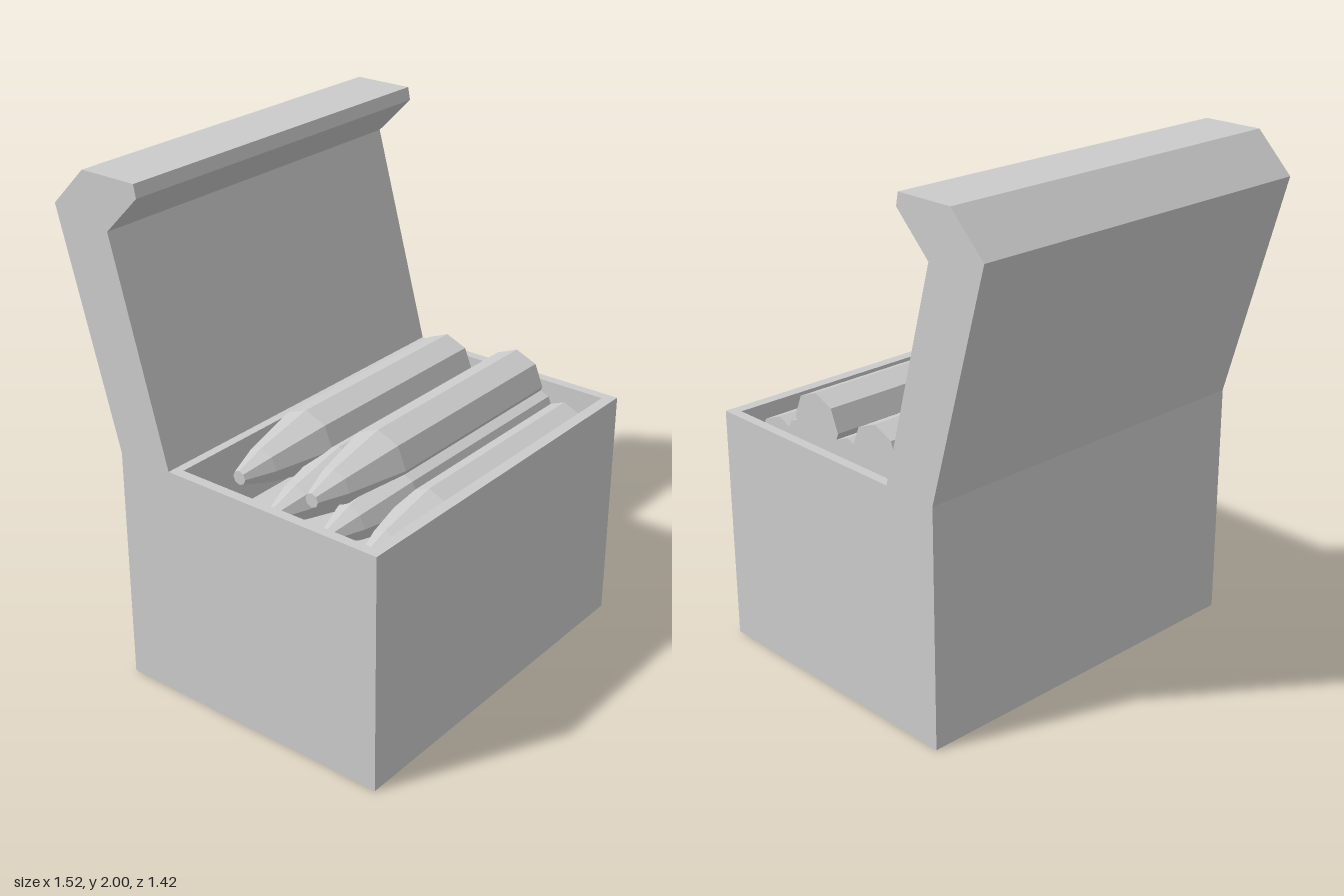
import * as THREE from 'three';

const material = new THREE.MeshStandardMaterial({ color: 0xcccccc, flatShading: true });

function part(name, geometry) {
  const mesh = new THREE.Mesh(geometry, material);
  mesh.name = name;
  return mesh;
}

// Rectangle seen from above; shape y is minus z
function rectangle(halfWidth, back, front, Type = THREE.Shape) {
  return new Type([
    [-halfWidth, -front], [halfWidth, -front], [halfWidth, -back], [-halfWidth, -back],
  ].map(([x, y]) => new THREE.Vector2(x, y)));
}

function extrude(shape, depth) {
  return new THREE.ExtrudeGeometry(shape, { depth, bevelEnabled: false });
}

export function createModel() {
  const group = new THREE.Group();
  group.name = 'cartridgeBox';
  const width = 1.52, height = 0.95, floorHeight = 0.68;

  // Open-topped box with a thick rear wall under the lid
  const outline = rectangle(width / 2, -0.455, 0.715);
  outline.holes.push(rectangle(0.72, -0.185, 0.67, THREE.Path));
  group.add(part('boxWalls', extrude(outline, height).rotateX(-Math.PI / 2)));
  const floor = extrude(rectangle(0.72, -0.185, 0.67), floorHeight);
  group.add(part('boxFloor', floor.rotateX(-Math.PI / 2)));

  // Raised lid with its hooked front lip, profile given as z, y
  const lidProfile = new THREE.Shape([
    [-0.455, 0.95], [-0.71, 1.85], [-0.56, 2], [-0.315, 2],
    [-0.305, 1.95], [-0.455, 1.8], [-0.22, 0.95],
  ].map(([z, y]) => new THREE.Vector2(z, y)));
  const lid = extrude(lidProfile, width).translate(0, 0, -width / 2);
  group.add(part('lid', lid.rotateY(-Math.PI / 2)));

  // Eight-sided cartridges lying with their tips to -x
  const cartridge = new THREE.LatheGeometry([
    [0, -0.625], [0.125, -0.625], [0.125, 0.26], [0.07, 0.51], [0.028, 0.63], [0, 0.63],
  ].map(([r, y]) => new THREE.Vector2(r, y)), 8).rotateZ(Math.PI / 2);
  const places = [[0.945, 0], [0.845, 0.155], [0.97, 0.333], [0.85, 0.4], [0.81, 0.56]];
  places.forEach(([y, z], i) => {
    const mesh = part(`cartridge${i + 1}`, cartridge);
    mesh.position.set(0, y, z);
    group.add(mesh);
  });
  return group;
}
